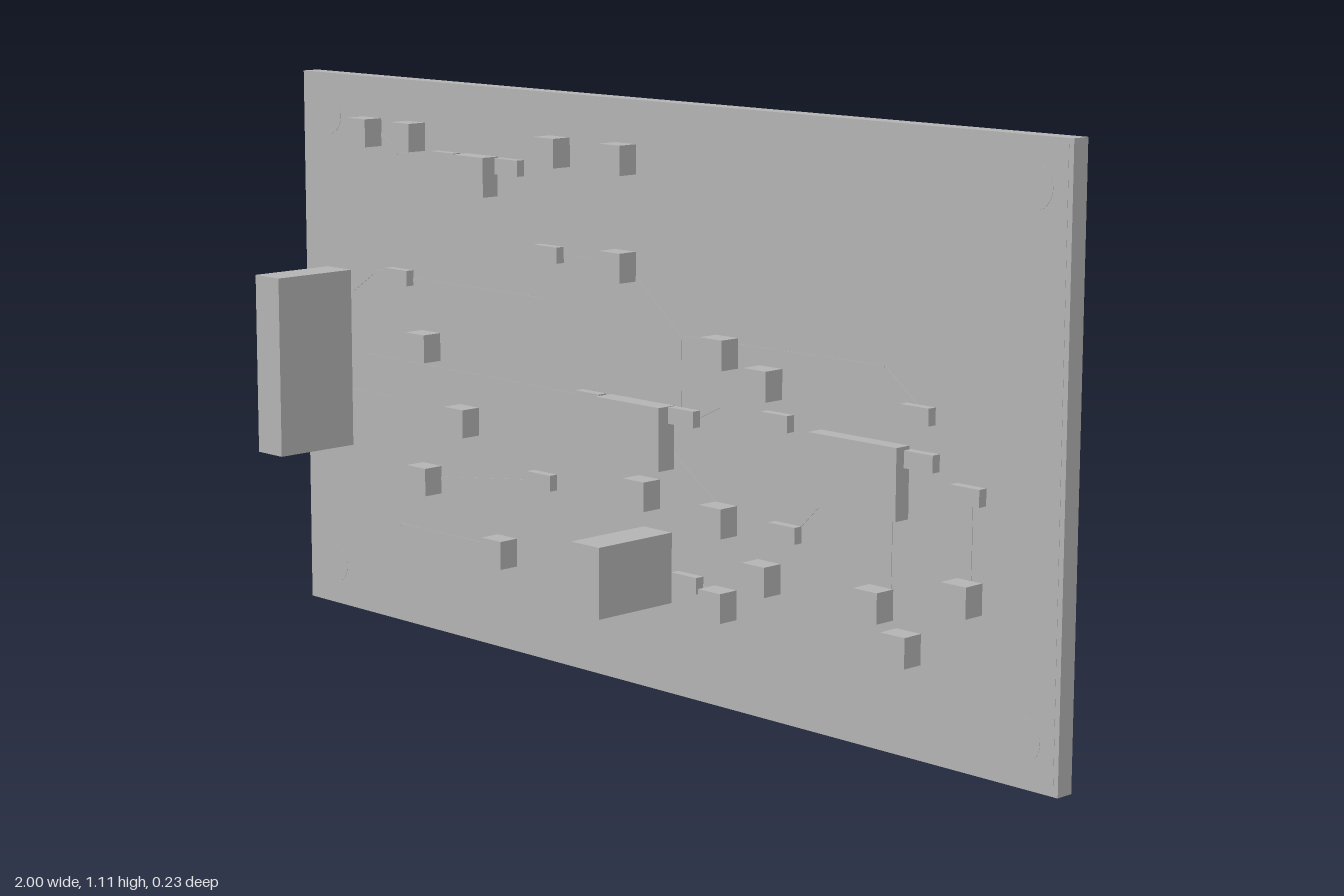
import * as THREE from 'three';

const FRONT = -0.075, BACK = -0.1115, HEIGHT = 1.11;

export function createModel() {
  const model = new THREE.Group();
  model.name = 'circuitBoard';
  const grey = new THREE.MeshStandardMaterial({ color: 0xb4b4b4 });
  grey.name = 'plain grey';

  const add = (name, geometry, x, y, z, parent = model) => {
    const mesh = new THREE.Mesh(geometry, grey);
    mesh.name = name;
    mesh.position.set(x, y, z);
    parent.add(mesh);
    return mesh;
  };
  // Block standing on the front of the board, reaching forward to z = top
  const block = (name, x, y, w, h, top) =>
    add(name, new THREE.BoxGeometry(w, h, top - FRONT), x, y, (top + FRONT) / 2);

  // Board with a thin inset layer on each face
  add('board', new THREE.BoxGeometry(2, HEIGHT, FRONT - BACK), 0, HEIGHT / 2, (FRONT + BACK) / 2);
  for (const [name, z] of [['frontLayer', FRONT], ['backLayer', BACK]])
    add(name, new THREE.BoxGeometry(1.98, HEIGHT - 0.02, 0.001), 0, HEIGHT / 2, z);

  // Connectors
  block('tallConnector', -0.893, 0.528, 0.075, 0.365, 0.1125);
  block('shortConnector', 0.042, 0.242, 0.075, 0.135, 0.1125);

  // Chips
  block('smallChip', -0.447, 0.938, 0.09, 0.077, -0.036);
  block('centreChip', 0, 0.491, 0.17, 0.12, -0.034);
  block('rightChip', 0.556, 0.491, 0.207, 0.13, -0.041);

  // Capacitors
  const capacitors = [
    [-0.78, 1], [-0.645, 1], [-0.225, 1], [-0.045, 1], [-0.045, 0.8], [-0.605, 0.583],
    [-0.49, 0.447], [-0.605, 0.313], [-0.38, 0.2], [0.02, 0.378], [0.22, 0.668], [0.33, 0.625],
    [0.22, 0.358], [0.22, 0.2], [0.33, 0.268], [0.6, 0.268], [0.665, 0.2], [0.8, 0.313],
  ];
  for (const [x, y] of capacitors) block('capacitor', x, y, 0.056, 0.056, -0.0315);

  // Resistors
  const resistors = [
    [-0.545, 0.96], [-0.358, 0.96], [-0.247, 0.803], [-0.69, 0.714], [-0.13, 0.535],
    [0.12, 0.535], [-0.268, 0.358], [0.376, 0.358], [0.13, 0.224], [0.355, 0.558],
    [0.685, 0.615], [0.696, 0.535], [0.8, 0.491],
  ];
  for (const [x, y] of resistors) block('resistor', x, y, 0.065, 0.031, -0.056);

  // Thin traces, one strip per path segment
  const traces = [
    [[-0.85, 0.67], [-0.78, 0.715], [-0.72, 0.715]],
    [[-0.66, 0.71], [-0.27, 0.71], [-0.13, 0.55]],
    [[-0.22, 0.8], [-0.045, 0.8], [0.1, 0.68], [0.1, 0.55]],
    [[0.1, 0.68], [0.6, 0.685], [0.685, 0.62]],
    [[-0.85, 0.54], [-0.16, 0.535]],
    [[-0.85, 0.46], [-0.73, 0.46], [-0.62, 0.33]],
    [[-0.85, 0.35], [-0.705, 0.2], [-0.41, 0.2]],
    [[-0.58, 0.315], [-0.3, 0.35]],
    [[-0.76, 1], [-0.7, 0.96], [-0.57, 0.96]],
    [[0.15, 0.54], [0.31, 0.62]],
    [[0.08, 0.46], [0.21, 0.37]],
    [[0.39, 0.36], [0.47, 0.44]],
    [[0.62, 0.44], [0.62, 0.28]],
    [[0.8, 0.48], [0.8, 0.33]],
    [[0.15, 0.225], [0.21, 0.2]],
  ];
  for (const path of traces)
    for (let i = 1; i < path.length; i++) {
      const [[ax, ay], [bx, by]] = [path[i - 1], path[i]];
      const strip = add('trace', new THREE.BoxGeometry(Math.hypot(bx - ax, by - ay), 0.008, 0.001),
        (ax + bx) / 2, (ay + by) / 2, FRONT + 0.001);
      strip.rotation.z = Math.atan2(by - ay, bx - ax);
    }

  // Round pads on both faces at the corners
  const disc = (name, x, y, z, radius) => {
    add(name, new THREE.CylinderGeometry(radius, radius, 0.001, 24), x, y, z).rotation.x = Math.PI / 2;
  };
  for (const x of [-0.92, 0.92])
    for (const y of [0.085, HEIGHT - 0.085])
      for (const z of [FRONT + 0.0006, BACK - 0.0006]) disc('mountingPad', x, y, z, 0.04);

  // Pin pads behind the connectors, the first of each square
  const pinRow = (x, top, pitch, count) => {
    add('firstPinPad', new THREE.BoxGeometry(0.036, 0.036, 0.001), x, top, BACK - 0.0006);
    for (let i = 1; i < count; i++) disc('pinPad', x, top - i * pitch, BACK - 0.0006, 0.018);
  };
  pinRow(-0.89, 0.66, 0.053, 6);
  pinRow(0.045, 0.27, 0.053, 2);

  return model;
}
